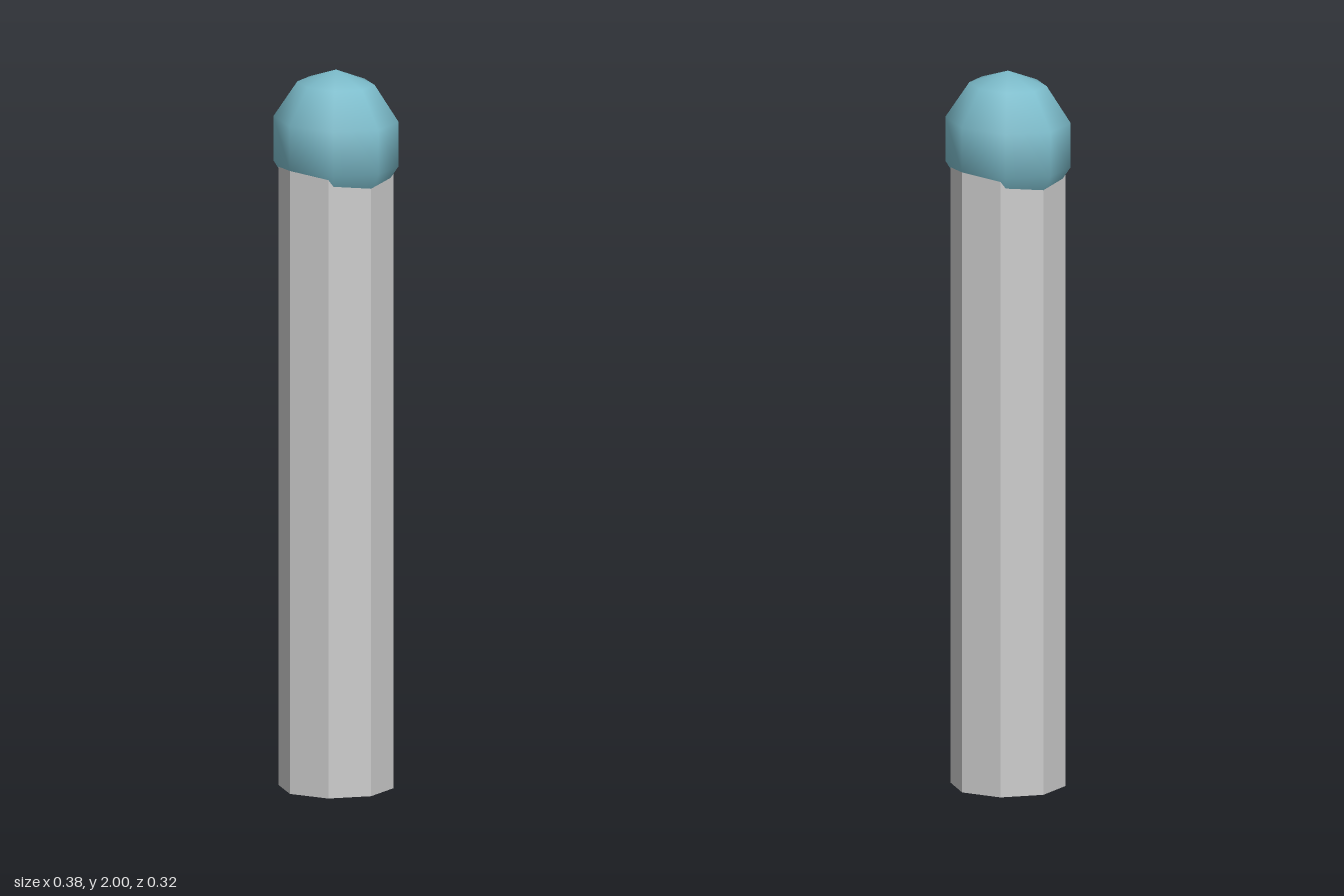
import * as THREE from 'three';

export function createModel() {
  const group = new THREE.Group();
  const sides = 8;

  // Faceted octagonal shaft, its top buried inside the cap
  const shaftHeight = 1.8;
  const shaft = new THREE.Mesh(
    new THREE.CylinderGeometry(0.158, 0.158, shaftHeight, sides),
    new THREE.MeshStandardMaterial({ color: 0xcccccc, flatShading: true })
  );
  shaft.name = 'shaft';
  shaft.position.y = shaftHeight / 2;
  group.add(shaft);

  // Smooth low-poly ball cap, flattened front to back
  const capGeometry = new THREE.SphereGeometry(0.2, sides, 5);
  capGeometry.scale(1, 1, 0.834);
  const cap = new THREE.Mesh(
    capGeometry,
    new THREE.MeshStandardMaterial({ color: 0x7cbccb })
  );
  cap.name = 'cap';
  cap.position.y = 1.8;
  group.add(cap);

  return group;
}
